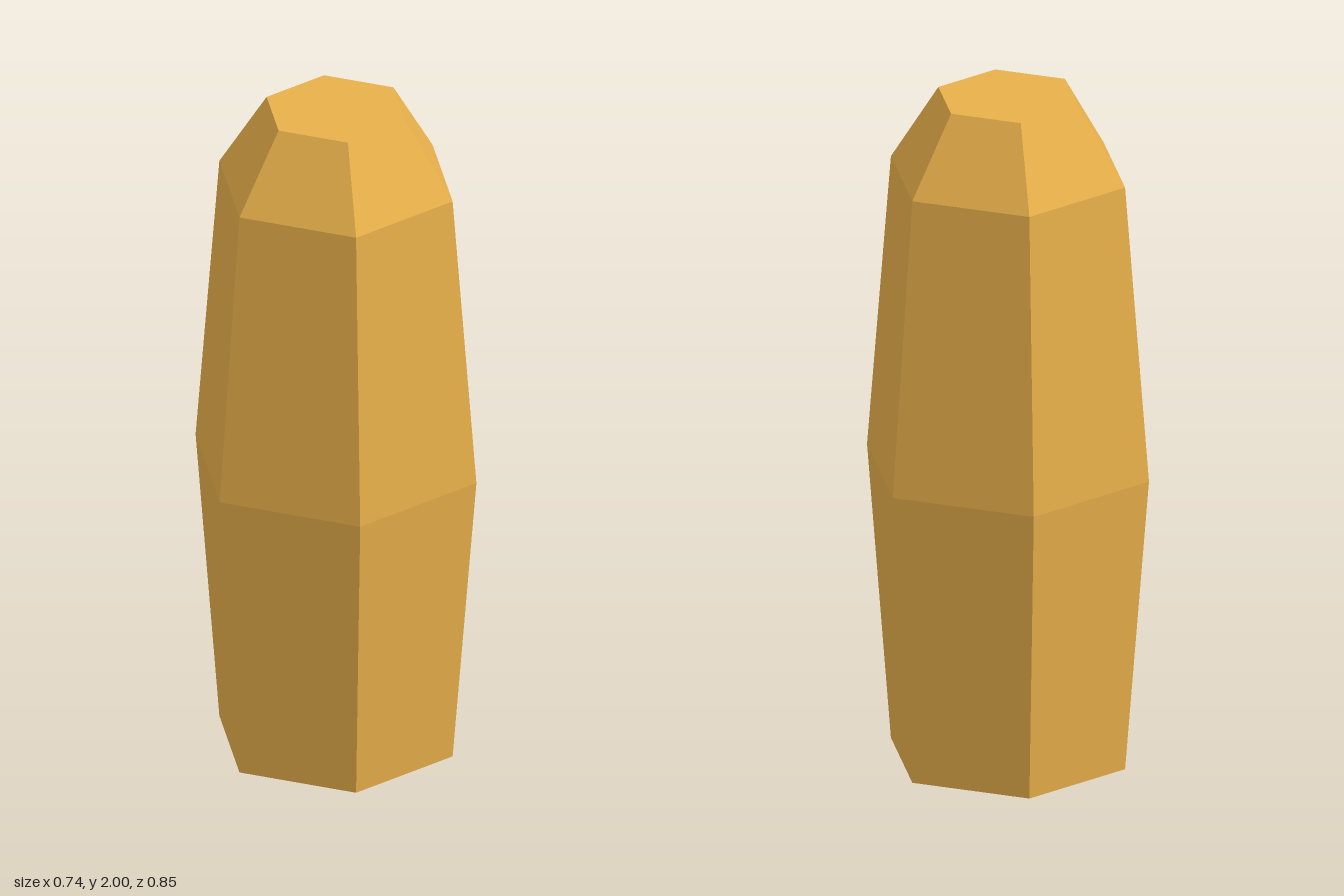
import * as THREE from 'three';

export function createModel() {
  const group = new THREE.Group();
  group.name = 'hexagonalCrystal';

  // Half profile (radius, height) from the centre of the base to the centre of the tip
  const profile = [
    [0, 0],
    [0.353, 0],
    [0.425, 0.885],
    [0.353, 1.77],
    [0.21, 2],
    [0, 2],
  ].map(([r, y]) => new THREE.Vector2(r, y));

  // Six-sided faceted body with corners on the z axis
  const body = new THREE.Mesh(
    new THREE.LatheGeometry(profile, 6),
    new THREE.MeshStandardMaterial({ color: 0xe8b04a, flatShading: true })
  );
  body.name = 'crystalBody';
  group.add(body);

  return group;
}
